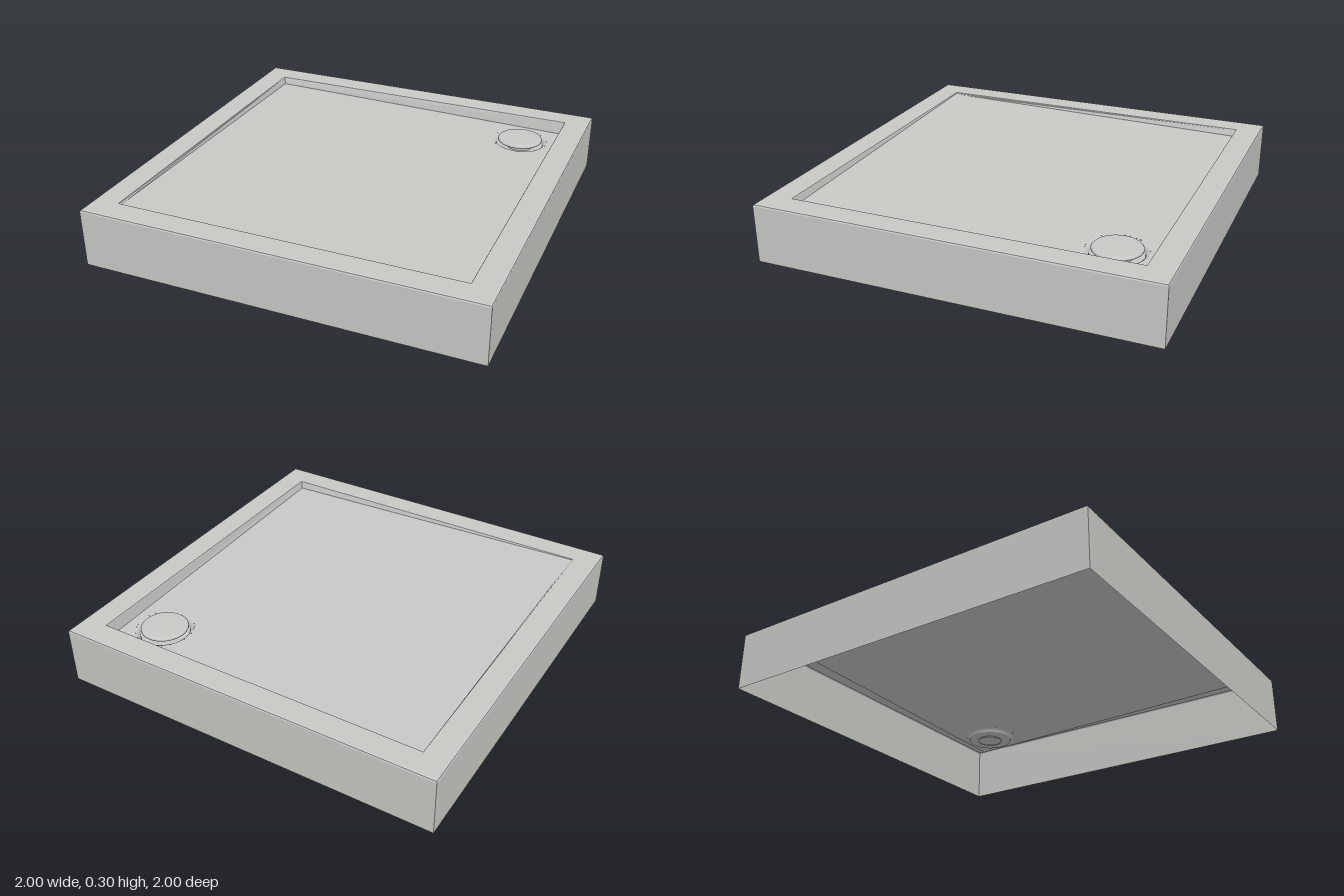
import * as THREE from 'three';

const DRAIN = { x: 0.67, z: -0.68, hole: 0.145 };
const SEGMENTS = 48;

// The basin floor tilts gently towards the drain corner.
const floorY = (x, z) => 0.26 - 0.0175 * x + 0.0175 * z;

// Loft square rings [half width, height]; height null follows the tilted floor.
function squareLoft(rings) {
  const signs = [[1, 1], [1, -1], [-1, -1], [-1, 1]];
  const corner = ([h, y], i) => {
    const x = signs[i % 4][0] * h, z = signs[i % 4][1] * h;
    return [x, y === null ? floorY(x, z) : y, z];
  };
  const positions = [];
  for (let r = 0; r < rings.length - 1; r++) {
    for (let i = 0; i < 4; i++) {
      const a = corner(rings[r], i), b = corner(rings[r], i + 1);
      const c = corner(rings[r + 1], i + 1), d = corner(rings[r + 1], i);
      positions.push(...a, ...b, ...c, ...a, ...c, ...d);
    }
  }
  const geometry = new THREE.BufferGeometry();
  geometry.setAttribute('position', new THREE.Float32BufferAttribute(positions, 3));
  geometry.computeVertexNormals();
  return geometry;
}

// Shift every vertex onto the tilted floor plane.
function dropToFloor(geometry) {
  const p = geometry.attributes.position;
  for (let i = 0; i < p.count; i++) p.setY(i, p.getY(i) + floorY(p.getX(i), p.getZ(i)));
  geometry.computeVertexNormals();
  return geometry;
}

function lathe(points) {
  return new THREE.LatheGeometry(points.map(([r, y]) => new THREE.Vector2(r, y)), SEGMENTS);
}

export function createModel() {
  const group = new THREE.Group();
  group.name = 'showerTray';
  const enamel = new THREE.MeshStandardMaterial({ color: 0xc8c8c5, side: THREE.DoubleSide });
  enamel.name = 'light grey enamel';
  const add = (name, geometry) => {
    const mesh = new THREE.Mesh(geometry, enamel);
    mesh.name = name;
    group.add(mesh);
    return mesh;
  };

  // Open-bottomed skirt, softened rim and step down into the basin
  add('skirtAndRim', squareLoft([
    [1, 0], [1, 0.29], [0.997, 0.297], [0.99, 0.3],
    [0.877, 0.3], [0.872, 0.298], [0.87, 0.294], [0.862, null],
  ]));

  // Basin floor with the drain opening
  const half = 0.862;
  const outline = new THREE.Shape([
    new THREE.Vector2(-half, -half), new THREE.Vector2(half, -half),
    new THREE.Vector2(half, half), new THREE.Vector2(-half, half),
  ]);
  outline.holes.push(new THREE.Path().absarc(DRAIN.x, -DRAIN.z, DRAIN.hole, 0, Math.PI * 2, true));
  const floor = new THREE.ShapeGeometry(outline, SEGMENTS);
  floor.rotateX(-Math.PI / 2);
  add('basinFloor', dropToFloor(floor));

  // Sunken dish around the drain
  const dish = lathe([
    [DRAIN.hole, 0], [0.138, -0.002], [0.13, -0.008], [0.124, -0.018],
    [0.122, -0.03], [0, -0.03],
  ]);
  dish.translate(DRAIN.x, 0, DRAIN.z);
  add('drainDish', dropToFloor(dish));

  // Raised cover on a short stem
  const cover = lathe([
    [0, 0.238], [0.11, 0.238], [0.118, 0.241], [0.118, 0.249], [0.113, 0.254], [0.1, 0.256], [0, 0.257],
  ]);
  add('drainCover', cover).position.set(DRAIN.x, 0, DRAIN.z);
  const stem = new THREE.CylinderGeometry(0.07, 0.07, 0.04, SEGMENTS, 1, true);
  add('drainStem', stem).position.set(DRAIN.x, 0.222, DRAIN.z);

  return group;
}
